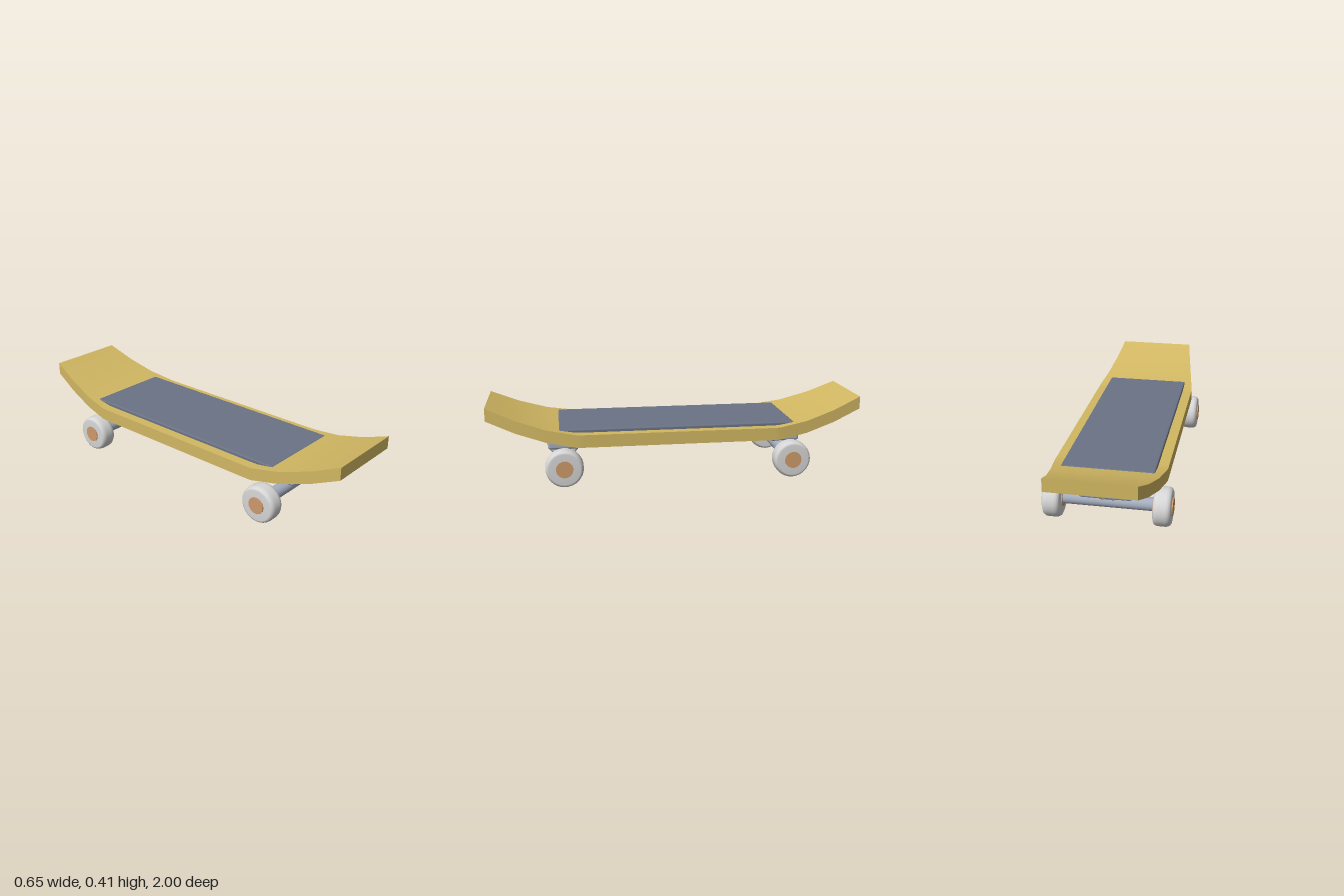
import * as THREE from 'three';
import { RoundedBoxGeometry } from 'three/addons/geometries/RoundedBoxGeometry.js';

const mat = (name, color) => Object.assign(new THREE.MeshStandardMaterial({ color }), { name });

// Four-sided loft along z; each side has its own vertices so corners stay sharp
function loft(stations) {
  const pos = [], idx = [];
  const rings = stations.map(([z, w, b, t]) => [[-w, b, z], [w, b, z], [w, t, z], [-w, t, z]]);
  for (let s = 0; s < 4; s++) {
    const start = pos.length / 3;
    rings.forEach((r, i) => {
      pos.push(...r[s], ...r[(s + 1) % 4]);
      if (i === 0) return;
      const a0 = start + 2 * (i - 1), b0 = a0 + 1, a1 = a0 + 2, b1 = a0 + 3;
      idx.push(a0, b0, b1, a0, b1, a1);
    });
  }
  // End caps
  for (const ring of [rings[rings.length - 1], [...rings[0]].reverse()]) {
    const n = pos.length / 3;
    ring.forEach((p) => pos.push(...p));
    idx.push(n, n + 1, n + 2, n, n + 2, n + 3);
  }
  const geo = new THREE.BufferGeometry();
  geo.setAttribute('position', new THREE.Float32BufferAttribute(pos, 3));
  geo.setIndex(idx);
  geo.computeVertexNormals();
  return geo;
}

export function createModel() {
  const model = new THREE.Group();
  model.name = 'skateboard';
  const wood = mat('deck wood', 0xd2b863);
  const tan = mat('tan', 0xcbb078);
  const grip = mat('grip grey', 0x6b7385);
  const metal = mat('truck metal', 0xa6afc0);
  const rubber = mat('wheel white', 0xd6d6d6);
  const copper = mat('copper', 0xcd9a6c);

  const add = (parent, name, geo, material, x = 0, y = 0, z = 0) => {
    const mesh = new THREE.Mesh(geo, material);
    mesh.name = name;
    mesh.position.set(x, y, z);
    parent.add(mesh);
    return mesh;
  };

  // Deck: flat middle with both ends kicked up and narrowed [z, half width, bottom, top]
  const half = [
    [0.5, 0.285, 0.205, 0.272], [0.54, 0.285, 0.206, 0.273],
    [0.69, 0.264, 0.232, 0.298], [0.85, 0.239, 0.281, 0.348], [1, 0.215, 0.345, 0.412],
  ];
  const mirrored = half.map(([z, ...rest]) => [-z, ...rest]).reverse();
  add(model, 'deck', loft([...mirrored, ...half]), wood);

  // Grip pad on top, thin stiffening plate underneath
  add(model, 'gripPad', new RoundedBoxGeometry(0.466, 0.05, 1.26, 2, 0.008), grip, 0, 0.265, 0);
  add(model, 'bottomPlate', new RoundedBoxGeometry(0.43, 0.016, 1.06, 2, 0.005), tan, 0, 0.2, 0);

  // Wheel profile with softened shoulders
  const profile = [[0.03, -0.044], [0.082, -0.044], [0.091, -0.04], [0.097, -0.03], [0.099, -0.018],
    [0.099, 0.018], [0.097, 0.03], [0.091, 0.04], [0.082, 0.044], [0.03, 0.044]];
  const wheelGeo = new THREE.LatheGeometry(profile.map(([r, y]) => new THREE.Vector2(r, y)), 32).rotateZ(Math.PI / 2);
  const hubGeo = new THREE.CylinderGeometry(0.045, 0.045, 0.1, 14).rotateZ(Math.PI / 2);
  const axleGeo = new THREE.CylinderGeometry(0.034, 0.034, 0.48, 24).rotateZ(Math.PI / 2);
  const baseGeo = new RoundedBoxGeometry(0.266, 0.048, 0.17, 3, 0.014);
  const blockGeo = new RoundedBoxGeometry(0.082, 0.06, 0.08, 2, 0.006);
  const pinGeo = new THREE.CylinderGeometry(0.019, 0.026, 0.03, 16);

  // Truck assemblies at each end
  for (const side of [1, -1]) {
    const truck = new THREE.Group();
    truck.name = side > 0 ? 'frontTruck' : 'rearTruck';
    truck.position.z = 0.605 * side;
    model.add(truck);
    add(truck, 'basePlate', baseGeo, metal, 0, 0.179, 0);
    add(truck, 'bushingBlock', blockGeo, tan, 0, 0.158, 0);
    add(truck, 'kingpin', pinGeo, copper, 0, 0.21, 0.035 * side);
    add(truck, 'axle', axleGeo, metal, 0, 0.106, 0);
    for (const x of [0.275, -0.275]) {
      add(truck, x > 0 ? 'leftWheel' : 'rightWheel', wheelGeo, rubber, x, 0.1, 0);
      add(truck, x > 0 ? 'leftHub' : 'rightHub', hubGeo, copper, x, 0.102, 0);
    }
  }
  return model;
}
